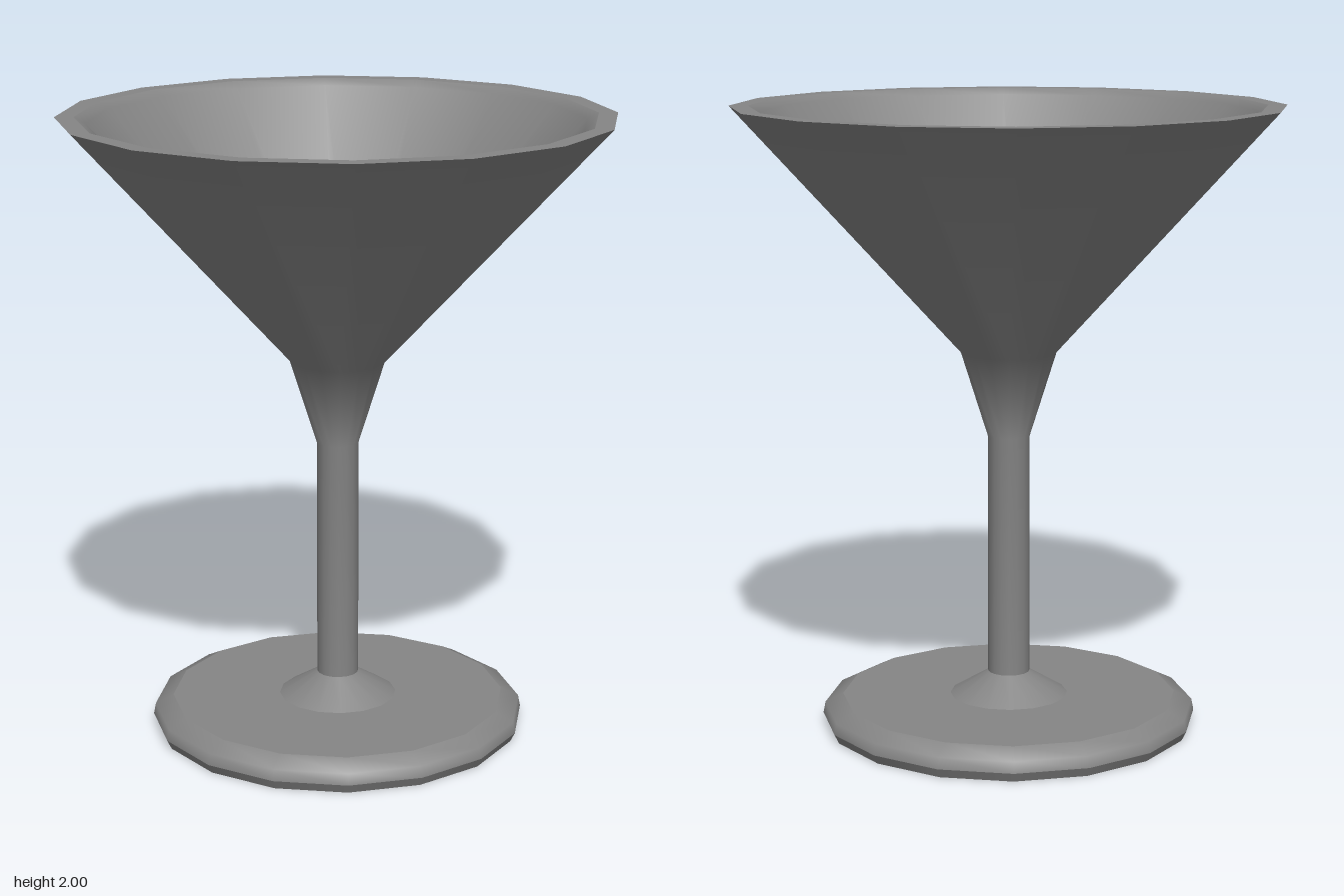
import * as THREE from 'three';

const SIDES = 16;

export function createModel() {
  const glass = new THREE.Group();
  glass.name = 'cocktailGlass';
  const material = new THREE.MeshStandardMaterial({ color: 0x858585 });

  // Each part is a turned profile, smooth within itself; edges between parts stay sharp.
  const turn = (name, profile) => {
    const points = profile.map(([r, y]) => new THREE.Vector2(r, y));
    const mesh = new THREE.Mesh(new THREE.LatheGeometry(points, SIDES), material);
    mesh.name = name;
    glass.add(mesh);
  };

  // Foot: underside, lower bevel, rounded edge, then top rising to the stem
  turn('footUnderside', [[0, 0], [0.59, 0]]);
  turn('footBevel', [[0.59, 0], [0.605, 0.03]]);
  turn('footEdge', [[0.605, 0.03], [0.598, 0.066], [0.54, 0.095]]);
  turn('footTop', [[0.54, 0.095], [0.19, 0.095]]);
  turn('footCone', [[0.19, 0.095], [0.067, 0.17]]);

  // Stem flaring into the outer wall of the bowl
  turn('stemAndBowl', [[0.067, 0.17], [0.067, 0.95], [0.152, 1.22], [0.87, 2]]);

  // Flat rim, softly rounded inner wall, and the flat floor of the bowl
  turn('rim', [[0.87, 2], [0.81, 2]]);
  turn('bowlInside', [[0.81, 2], [0.775, 1.98], [0.152, 1.285]]);
  turn('bowlFloor', [[0.152, 1.285], [0, 1.285]]);

  return glass;
}
